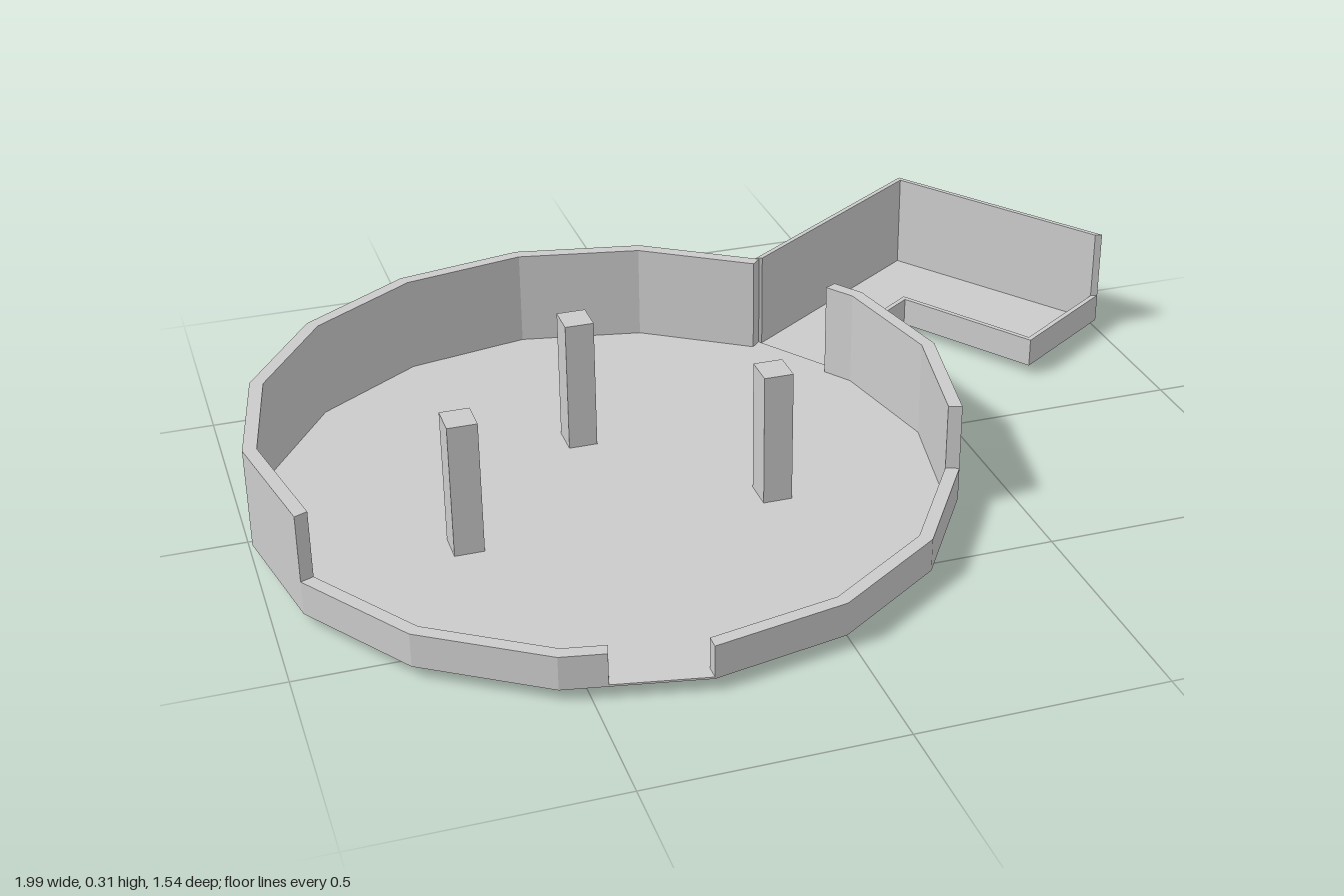
import * as THREE from 'three';

const material = new THREE.MeshStandardMaterial({ color: 0xcccccc, flatShading: true });
const SIDES = 16, CX = -0.285, CZ = 0.055, OUTER = 0.712, INNER = 0.684;
const BASE = 0.025, HIGH = 0.235, LOW = 0.095, SHEET = 0.004;

// Upright prism over a plan outline of [x, z] points
function prism(name, plan, y0, y1) {
  const shape = new THREE.Shape(plan.map(([x, z]) => new THREE.Vector2(x, -z)));
  const geometry = new THREE.ExtrudeGeometry(shape, { depth: y1 - y0, bevelEnabled: false });
  geometry.rotateX(-Math.PI / 2).translate(0, y0, 0);
  const mesh = new THREE.Mesh(geometry, material);
  mesh.name = name;
  return mesh;
}

// Point on the polygonal ring; s counts corners from +x towards +z, fractions lie on a side
function ringPoint(s, r) {
  const corner = (i) => {
    const a = (i / SIDES) * Math.PI * 2;
    return [CX + r * Math.cos(a), CZ + r * Math.sin(a)];
  };
  const i = Math.floor(s), t = s - i, p = corner(i), q = corner(i + 1);
  return [p[0] + (q[0] - p[0]) * t, p[1] + (q[1] - p[1]) * t];
}

// Run of ring wall between two corner positions
function ringWall(name, from, to, top) {
  const stops = [from];
  for (let i = Math.floor(from) + 1; i < to; i++) stops.push(i);
  stops.push(to);
  const outer = stops.map((s) => ringPoint(s, OUTER));
  const inner = stops.map((s) => ringPoint(s, INNER)).reverse();
  return prism(name, [...outer, ...inner], BASE, top);
}

// Mitred inward offset of a closed plan outline
function inset(plan, d) {
  const n = plan.length;
  const normal = (p, q) => {
    const l = Math.hypot(q[0] - p[0], q[1] - p[1]);
    return [-(q[1] - p[1]) / l, (q[0] - p[0]) / l];
  };
  return plan.map((p, i) => {
    const a = normal(plan[(i + n - 1) % n], p), b = normal(p, plan[(i + 1) % n]);
    const k = d / (1 + a[0] * b[0] + a[1] * b[1]);
    return [p[0] + (a[0] + b[0]) * k, p[1] + (a[1] + b[1]) * k];
  });
}

export function createModel() {
  const model = new THREE.Group();
  model.name = 'tray';

  // Round tray floor
  const disc = Array.from({ length: SIDES }, (_, i) => ringPoint(i, OUTER));
  model.add(prism('trayFloor', disc, BASE, BASE + SHEET));

  // Tall walls round the back, open where the arm joins; low walls in front with a gap
  model.add(
    ringWall('tallBackWall', 9 - 2, 14, HIGH),
    ringWall('tallSideWall', 14.74, 17, HIGH),
    ringWall('lowFrontWallLeft', 1, 4, LOW),
    ringWall('lowFrontWallRight', 4.68, 7, LOW)
  );

  // Bent side arm: floor, tall outer walls, low inner walls
  const arm = new THREE.Group();
  arm.name = 'sideArm';
  const plan = [[0.21, -0.45], [0.685, -0.773], [0.997, -0.32], [0.755, -0.16], [0.57, -0.44], [0.333, -0.275]];
  const inside = inset(plan, 0.011);
  const armWall = (name, a, b, top) =>
    prism(name, [...plan.slice(a, b + 1), ...inside.slice(a, b + 1).reverse()], 0.022, top);
  arm.add(
    prism('armFloor', plan, 0.022, 0.022 + SHEET),
    armWall('armTallWall', 0, 2, HIGH + 0.002),
    armWall('armLowWall', 2, 5, 0.085)
  );
  model.add(arm);

  // Three square posts passing through the floor
  for (const [x, z] of [[-0.605, 0.193], [0.025, 0.193], [-0.285, -0.145]]) {
    const post = new THREE.Mesh(new THREE.BoxGeometry(0.06, 0.31, 0.067), material);
    post.name = 'post';
    post.position.set(x, 0.155, z);
    model.add(post);
  }
  return model;
}
